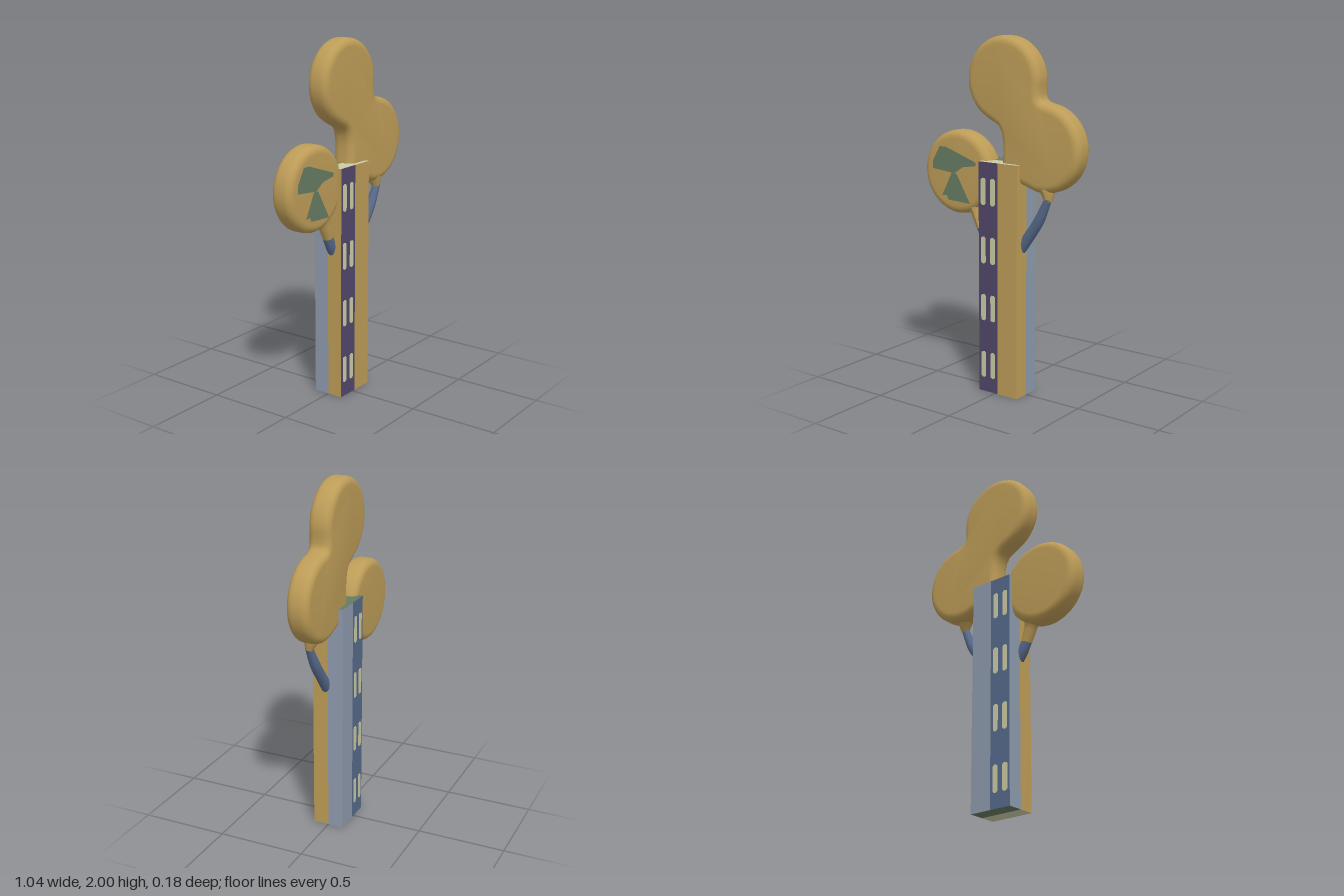
import * as THREE from 'three';
import { mergeVertices, toCreasedNormals } from 'three/addons/utils/BufferGeometryUtils.js';

const mat = (name, color, side = THREE.FrontSide) => {
  const m = new THREE.MeshStandardMaterial({ color, side });
  m.name = name;
  return m;
};

export function createModel() {
  const group = new THREE.Group();
  const gold = mat('gold', 0xbd9c57);
  const grey = mat('grey', 0x8e9bae);
  const purple = mat('purple', 0x51476a);
  const blue = mat('blue', 0x586b8c);
  const cream = mat('cream', 0xcbcba6);
  const green = mat('green', 0x667b62);

  const add = (name, geo, material) => {
    const mesh = new THREE.Mesh(geo, material);
    mesh.name = name;
    group.add(mesh);
    return mesh;
  };
  const v2 = (pts) => pts.map(([x, y]) => new THREE.Vector2(x, y));

  // Tower: one box, each side split in two coloured halves
  const box = new THREE.BoxGeometry(0.26, 1.32, 0.18, 2, 1, 2);
  const cells = [
    0, 1,         // +x: front, back
    1, 0,         // -x: back, front
    5, 5, 4, 4,   // top: back row, front row
    4, 4, 5, 5,   // bottom: front row, back row
    2, 0,         // front
    1, 3,         // back
  ];
  box.clearGroups();
  cells.forEach((m, i) => box.addGroup(i * 6, 6, m));
  add('tower', box, [gold, grey, purple, blue, cream, green]).position.set(0.02, 0.66, 0);

  // Windows: paired slots with clipped corners, on the front and the back
  const w = 0.016, h = 0.076, c = 0.009;
  const slot = new THREE.ExtrudeGeometry(new THREE.Shape(v2([
    [-w + c, -h], [w - c, -h], [w, -h + c], [w, h - c],
    [w - c, h], [-w + c, h], [-w, h - c], [-w, -h + c],
  ])), { depth: 0.004, bevelEnabled: false });
  slot.translate(0, 0, -0.002);
  for (const z of [0.09, -0.09]) {
    for (const y of [0.16, 0.495, 0.825, 1.155]) {
      for (const x of [-0.078, -0.014]) {
        add('window', slot, cream).position.set(x, y, z);
      }
    }
  }

  // Flat pillow-shaped foliage from an outline
  const foliage = (name, shape) => {
    const b = 0.042;
    let geo = new THREE.ExtrudeGeometry(shape, {
      depth: 0.13 - 2 * b, bevelThickness: b, bevelSize: b, bevelOffset: -b,
      bevelSegments: 5, curveSegments: 48,
    });
    geo.translate(0, 0, b - 0.065);
    geo.deleteAttribute('uv');
    geo.deleteAttribute('normal');
    geo = toCreasedNormals(mergeVertices(geo, 1e-4), 0.9);
    return add(name, geo, gold);
  };

  // Double crown: two round lobes blended together, rooted in the tower
  const arc = (cx, cy, r, from, to, n) => Array.from({ length: n + 1 }, (_, i) => {
    const a = THREE.MathUtils.degToRad(from + (to - from) * i / n);
    return [cx + r * Math.cos(a), cy + r * Math.sin(a)];
  });
  const outline = [
    [0.02, 1.27], [0.02, 1.36], [0.018, 1.45], [-0.005, 1.51],
    ...arc(0.022, 1.765, 0.237, 245, -10, 18),
    [0.262, 1.675], [0.295, 1.657],
    ...arc(0.282, 1.415, 0.239, 76, -100, 14),
    [0.16, 1.205], [0.07, 1.23],
  ];
  const curve = new THREE.CatmullRomCurve3(
    outline.map(([x, y]) => new THREE.Vector3(x, y, 0)), true);
  const pts = curve.getPoints(110).slice(0, -1).map((p) => new THREE.Vector2(p.x, p.y));
  foliage('doubleCrown', new THREE.Shape(pts));

  // Round crown
  foliage('roundCrown', new THREE.Shape().absarc(-0.288, 1.236, 0.236, 0, Math.PI * 2));

  // Painted patches on the round crown
  const patches = [
    [[-0.455, 1.245], [-0.3, 1.23], [-0.24, 1.27], [-0.15, 1.285], [-0.15, 1.305],
      [-0.36, 1.375], [-0.405, 1.375], [-0.455, 1.29]],
    [[-0.39, 1.095], [-0.355, 1.1], [-0.345, 1.075], [-0.19, 1.068], [-0.285, 1.23], [-0.32, 1.23]],
  ];
  for (const p of patches) {
    add('crownPatch', new THREE.ShapeGeometry(new THREE.Shape(v2(p))), green).position.z = 0.067;
  }

  // Limbs: tubes whose radius follows a list of values
  const limb = (name, path, radii, material) => {
    const n = 16, sides = 12;
    const line = new THREE.CatmullRomCurve3(path.map((p) => new THREE.Vector3(...p)));
    const geo = new THREE.TubeGeometry(line, n, 1, sides);
    const pos = geo.attributes.position;
    const v = new THREE.Vector3();
    for (let i = 0; i <= n; i++) {
      const centre = line.getPointAt(i / n);
      const f = (i / n) * (radii.length - 1);
      const k = Math.min(Math.floor(f), radii.length - 2);
      const r = THREE.MathUtils.lerp(radii[k], radii[k + 1], f - k);
      for (let j = 0; j <= sides; j++) {
        const id = i * (sides + 1) + j;
        v.fromBufferAttribute(pos, id).sub(centre).multiplyScalar(r).add(centre);
        pos.setXYZ(id, v.x, v.y, v.z);
      }
    }
    geo.computeVertexNormals();
    add(name, geo, material);
  };
  limb('rightCrownNeck', [[0.29, 1.24, 0.01], [0.305, 1.18, 0.022], [0.313, 1.13, 0.03]],
    [0.055, 0.042, 0.02], gold);
  limb('rightBranch', [[0.315, 1.15, 0.032], [0.25, 1.02, 0.025], [0.18, 0.92, 0.02], [0.1, 0.81, 0.018]],
    [0.02, 0.029, 0.031, 0.031], blue);
  limb('leftCrownNeck', [[-0.2, 1.09, 0.01], [-0.17, 1.01, 0.02], [-0.14, 0.935, 0.022]],
    [0.055, 0.036, 0.03], gold);
  limb('leftBranch', [[-0.15, 0.955, 0.022], [-0.115, 0.89, 0.02], [-0.06, 0.81, 0.018]],
    [0.028, 0.032, 0.032], blue);

  return group;
}
